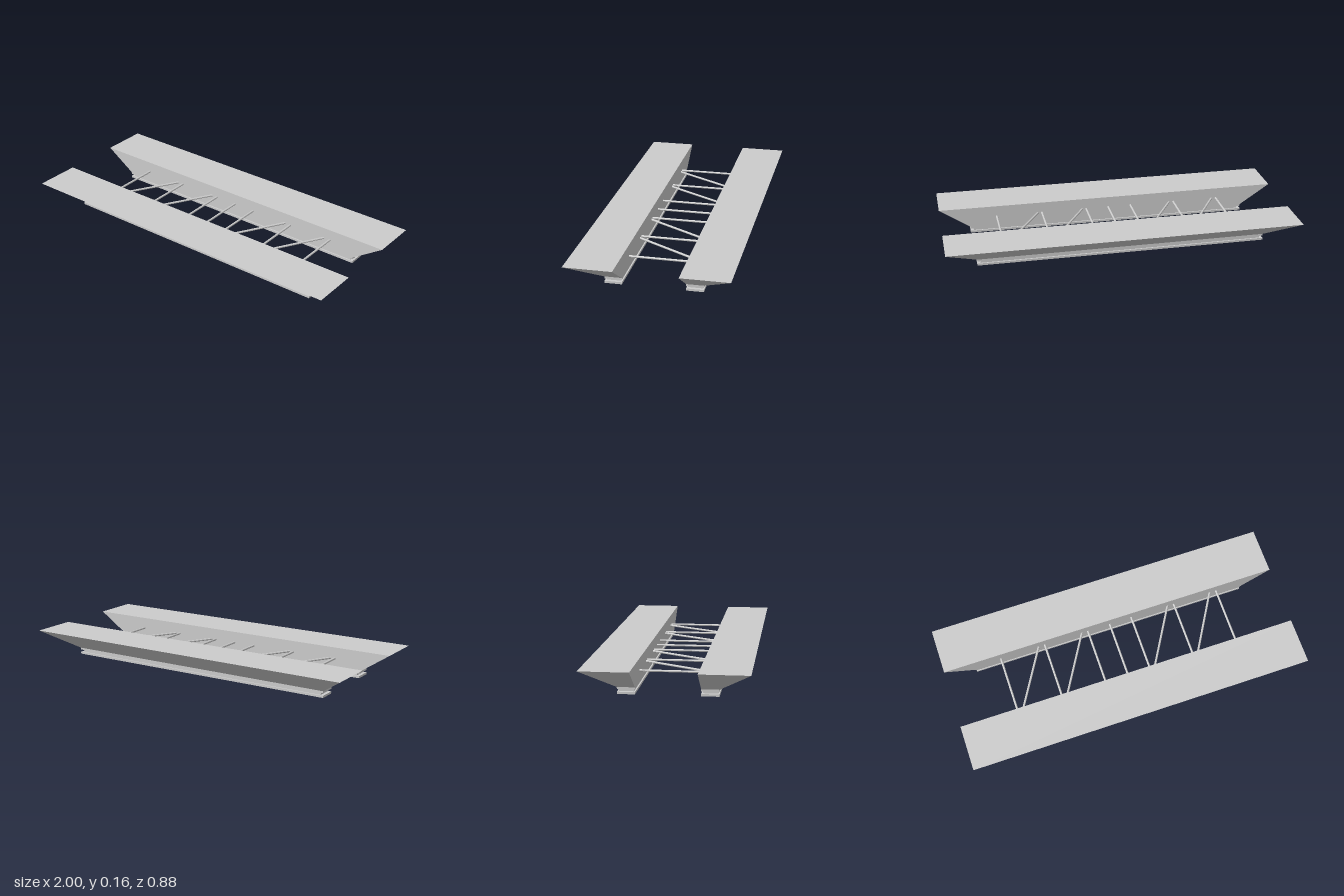
import * as THREE from 'three';

const material = new THREE.MeshStandardMaterial({ color: 0xcccccc, flatShading: true });

const INNER = 0.17;   // z of the hull faces that look at each other
const OUTER = 0.264;  // z of the outer foot edge
const ROD_Y = 0.091;

function addMesh(parent, name, geometry) {
  const mesh = new THREE.Mesh(geometry, material);
  mesh.name = name;
  parent.add(mesh);
  return mesh;
}

// Box along x between two heights and two depths
function slab(halfLength, y0, y1, z0, z1) {
  return new THREE.BoxGeometry(2 * halfLength, y1 - y0, z1 - z0)
    .translate(0, (y0 + y1) / 2, (z0 + z1) / 2);
}

// Hull: a slab whose top flares outward and past both ends, with a vertical inner face
function flaredHull() {
  const geometry = slab(0.82, 0.037, 0.155, INNER, OUTER);
  const p = geometry.attributes.position;
  for (let i = 0; i < p.count; i++) {
    if (p.getY(i) < 0.1) continue;
    p.setX(i, Math.sign(p.getX(i)) * 0.997);
    if (p.getZ(i) > 0.2) p.setZ(i, 0.433);
  }
  geometry.computeVertexNormals();
  return geometry;
}

// One hull standing on a grooved foot
function createSide(name) {
  const side = new THREE.Group();
  side.name = name;
  addMesh(side, 'hull', flaredHull());
  addMesh(side, 'footUpperPlate', slab(0.82, 0.026, 0.037, INNER, OUTER));
  addMesh(side, 'footCore', slab(0.802, 0.012, 0.026, INNER + 0.008, OUTER - 0.008));
  addMesh(side, 'footLowerPlate', slab(0.82, 0, 0.012, INNER, OUTER));
  return side;
}

// Round rod spanning the gap from the front hull to the back hull
function addRod(parent, name, xFront, xBack) {
  const a = new THREE.Vector3(xFront, ROD_Y, INNER + 0.002);
  const b = new THREE.Vector3(xBack, ROD_Y, -INNER - 0.002);
  const direction = b.clone().sub(a);
  const rod = addMesh(parent, name, new THREE.CylinderGeometry(0.0062, 0.0062, direction.length(), 12));
  rod.position.copy(a).add(b).multiplyScalar(0.5);
  rod.quaternion.setFromUnitVectors(new THREE.Vector3(0, 1, 0), direction.normalize());
}

export function createModel() {
  const model = new THREE.Group();
  model.name = 'twinHullFrame';

  const body = new THREE.Group();
  body.name = 'body';
  body.rotation.y = -0.0076; // the whole frame sits slightly askew
  model.add(body);

  body.add(createSide('frontSide'));
  const back = createSide('backSide');
  back.rotation.y = Math.PI;
  body.add(back);

  // Cross rods and diagonal braces
  for (const x of [-0.665, -0.399, -0.135, 0, 0.133, 0.398, 0.664]) addRod(body, 'crossRod', x, x);
  for (const x of [-0.638, -0.374, 0.157, 0.422]) addRod(body, 'diagonalBrace', x, x + 0.203);

  return model;
}
